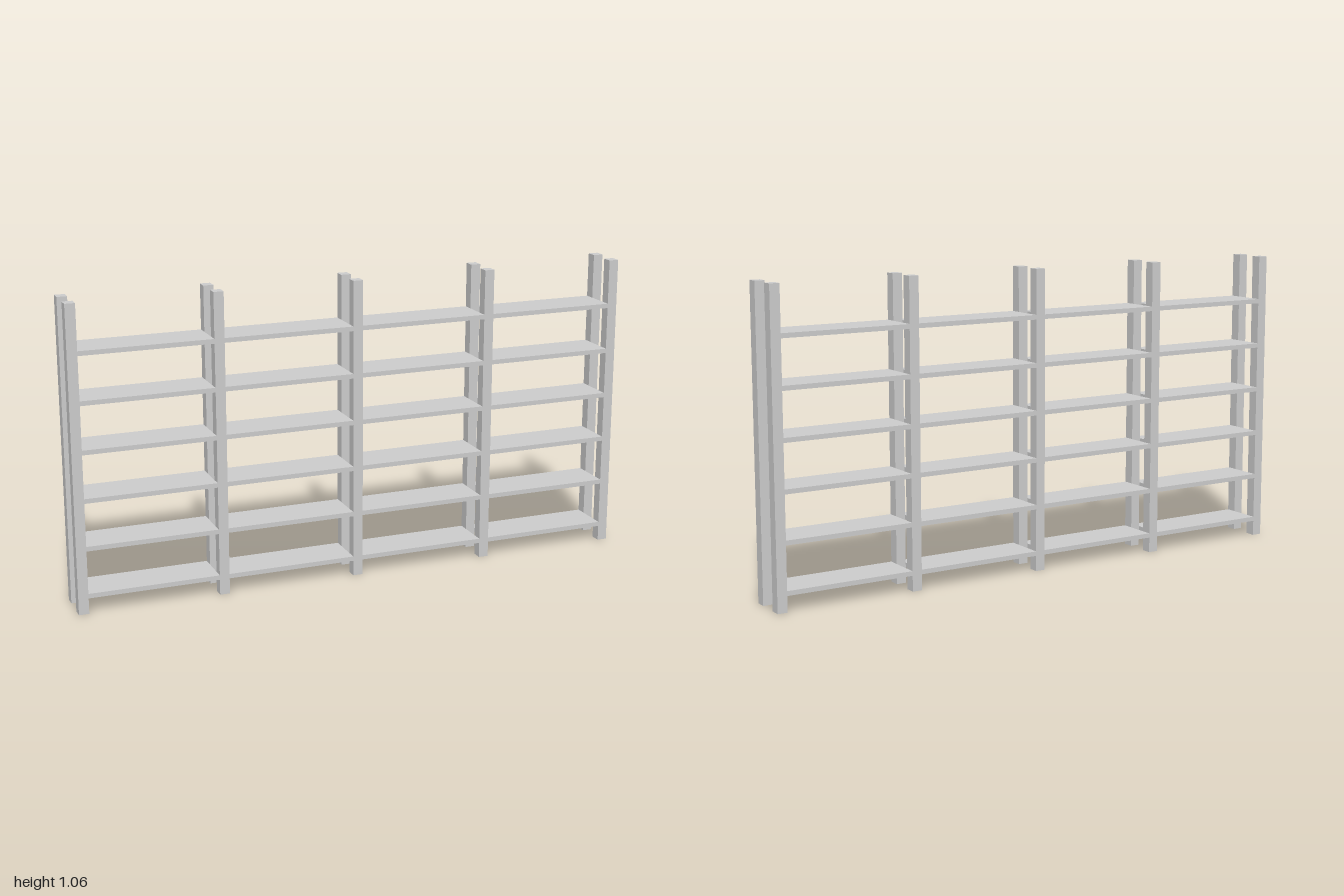
import * as THREE from 'three';

export function createModel() {
  const group = new THREE.Group();
  group.name = 'shelvingUnit';
  const material = new THREE.MeshStandardMaterial({ color: 0xcccccc, flatShading: true });

  const bays = 4, levels = 6;
  const height = 1.056, depth = 0.15;
  const postWidth = 0.035, postDepth = 0.038;
  const pitch = (2 - postWidth) / bays;
  const firstShelf = 0.0627, shelfStep = 0.1657, shelfThickness = 0.016;

  const postGeometry = new THREE.BoxGeometry(postWidth, height, postDepth);
  const shelfGeometry = new THREE.BoxGeometry(pitch - postWidth, shelfThickness, depth);

  const add = (name, geometry, x, y, z) => {
    const mesh = new THREE.Mesh(geometry, material);
    mesh.name = name;
    mesh.position.set(x, y, z);
    group.add(mesh);
  };

  // Pairs of upright posts, front and back
  for (let i = 0; i <= bays; i++) {
    const x = (i - bays / 2) * pitch;
    const z = (depth - postDepth) / 2;
    add('frontPost', postGeometry, x, height / 2, z);
    add('backPost', postGeometry, x, height / 2, -z);
  }

  // Shelf boards fitted between neighbouring posts
  for (let bay = 0; bay < bays; bay++) {
    for (let level = 0; level < levels; level++) {
      add('shelf', shelfGeometry, (bay + 0.5 - bays / 2) * pitch, firstShelf + level * shelfStep, 0);
    }
  }

  return group;
}
